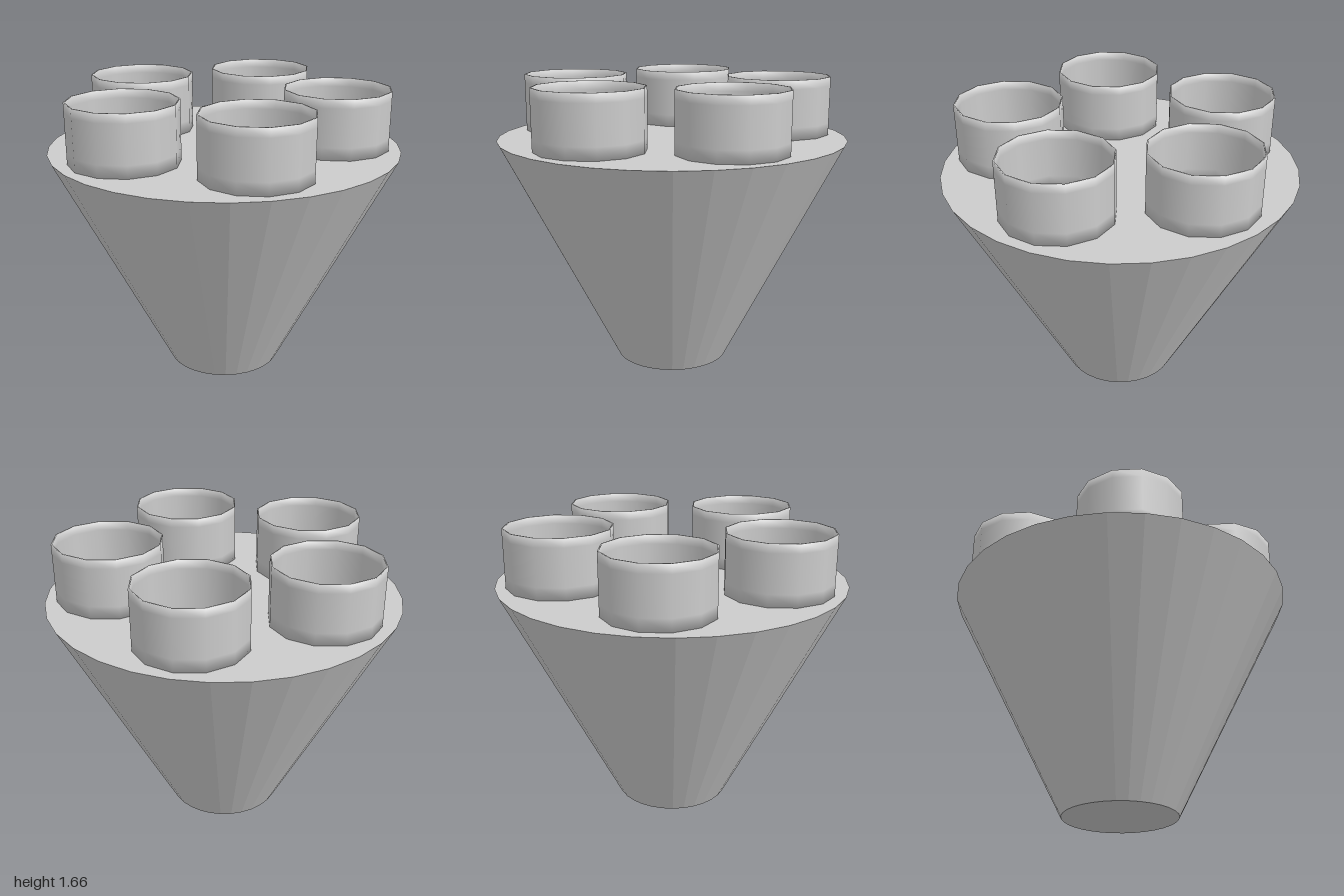
import * as THREE from 'three';

const DECK = 1.325, CUP_HEIGHT = 0.335, CUP_RADIUS = 0.305, WALL = 0.008;

// Thin-walled open cup whose normals roll softly over the rim and foot
function cupGeometry() {
  const inner = CUP_RADIUS - WALL;
  const levels = [0, 0.07, CUP_HEIGHT - 0.05, CUP_HEIGHT];
  const points = [
    ...levels.map((y) => new THREE.Vector2(CUP_RADIUS, y)),
    ...levels.slice().reverse().map((y) => new THREE.Vector2(inner, y)),
  ];
  const geometry = new THREE.LatheGeometry(points, 12);
  const { position, normal } = geometry.attributes;
  const n = new THREE.Vector3();
  for (let i = 0; i < position.count; i++) {
    const y = position.getY(i);
    const outside = i % points.length < levels.length ? 1 : -1;
    n.set(position.getX(i), 0, position.getZ(i)).normalize().multiplyScalar(outside);
    if (y < 0.001) n.y = -0.8;
    else if (y > CUP_HEIGHT - 0.001) n.y = 0.8;
    n.normalize();
    normal.setXYZ(i, n.x, n.y, n.z);
  }
  return geometry;
}

export function createModel() {
  const group = new THREE.Group();
  group.name = 'cupCluster';

  const grey = new THREE.MeshStandardMaterial({ color: 0xcccccc });
  grey.name = 'grey';

  // Faceted tapering body with flat ends
  const coneGeometry = new THREE.CylinderGeometry(1, 0.33, DECK, 32).toNonIndexed();
  coneGeometry.computeVertexNormals();
  const body = new THREE.Mesh(coneGeometry, grey);
  body.name = 'taperedBody';
  body.position.y = DECK / 2;
  group.add(body);

  // Ring of five cups, all facing the same way
  const cup = cupGeometry();
  for (let i = 0; i < 5; i++) {
    const angle = (i * 2 * Math.PI) / 5;
    const mesh = new THREE.Mesh(cup, grey);
    mesh.name = `cup${i + 1}`;
    mesh.position.set(0.634 * Math.sin(angle), DECK, -0.634 * Math.cos(angle));
    group.add(mesh);
  }
  return group;
}
